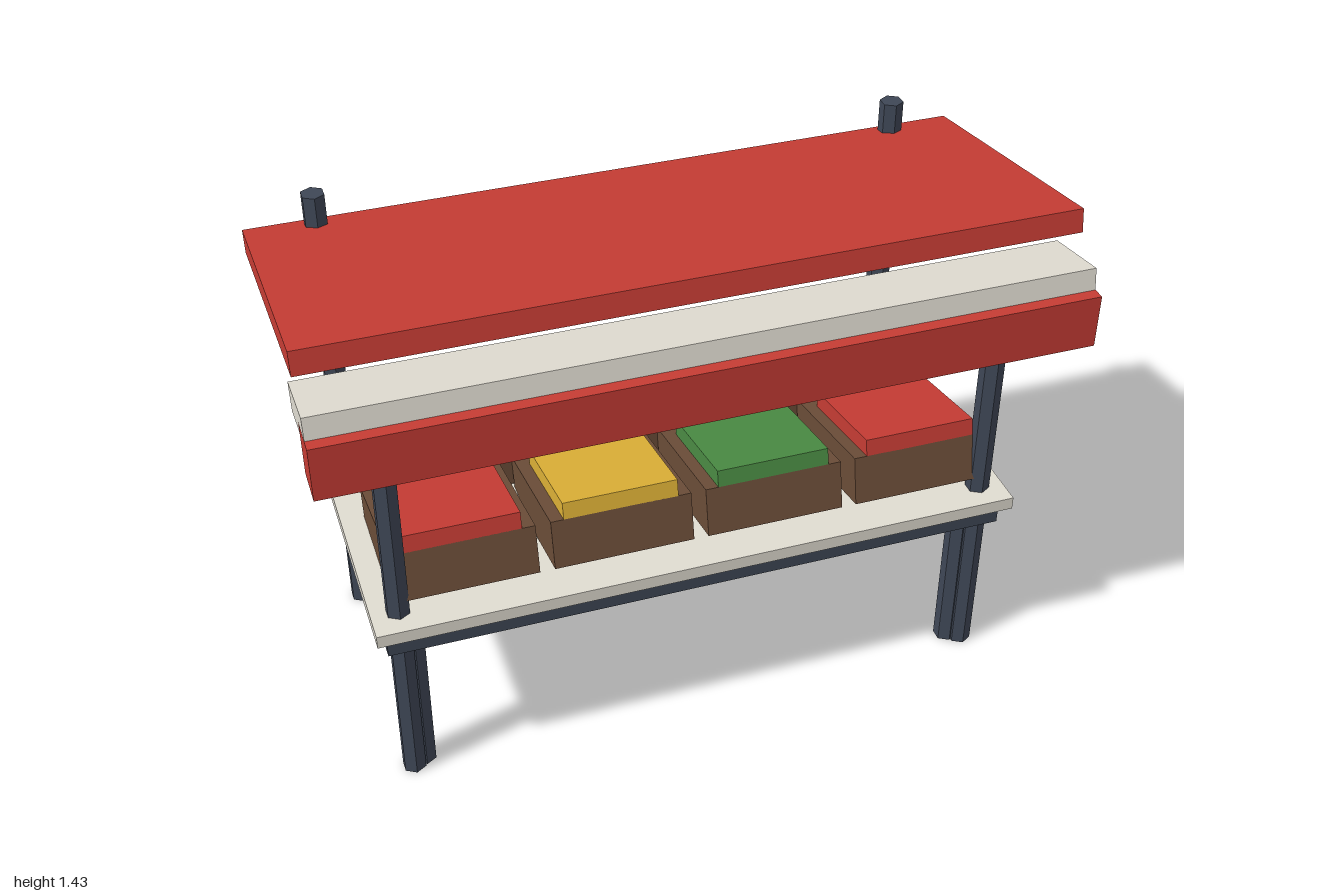
import * as THREE from 'three';

const material = (color) => new THREE.MeshStandardMaterial({ color, flatShading: true });
const metal = material(0x3f4756);
const cream = material(0xe0dcd1);
const wood = material(0x6b4d38);
const red = material(0xc63c34);
const yellow = material(0xdcb036);
const green = material(0x4a8b43);

function box(name, mat, size, position, tilt = 0) {
  const mesh = new THREE.Mesh(new THREE.BoxGeometry(...size), mat);
  mesh.name = name;
  mesh.position.set(...position);
  mesh.rotation.x = tilt;
  return mesh;
}

// Six-sided pole standing on the ground
function pole(name, height, x, z) {
  const mesh = new THREE.Mesh(new THREE.CylinderGeometry(0.033, 0.033, height, 6), metal);
  mesh.name = name;
  mesh.position.set(x, height / 2, z);
  return mesh;
}

// Crate centred on its group, with a block of produce on its top
function crate(name, [w, h, d], mat, [pw, ph, pd], produceZ) {
  const group = new THREE.Group();
  group.name = name;
  group.add(
    box('crateBody', wood, [w, h, d], [0, 0, 0]),
    box('produce', mat, [pw, ph, pd], [0, h / 2 + ph / 2 - 0.001, produceZ])
  );
  return group;
}

export function createModel() {
  const model = new THREE.Group();
  model.name = 'marketStall';

  // Table
  model.add(
    box('tableTop', cream, [1.77, 0.037, 0.91], [0, 0.5435, -0.043]),
    box('tableFrame', metal, [1.714, 0.06, 0.856], [0, 0.496, -0.042])
  );

  // Canopy posts, with a short table leg beside each one
  for (const side of [-1, 1]) {
    model.add(
      pole('frontPost', 1.21, side * 0.813, 0.332),
      pole('backPost', 1.385, side * 0.813, -0.395),
      pole('frontLeg', 0.48, side * 0.78, 0.31),
      pole('backLeg', 0.48, side * 0.78, -0.395)
    );
  }

  // Canopy: sloping roof, pale strip and hanging valance
  model.add(
    box('roof', red, [2, 0.064, 0.808], [0, 1.325, -0.032], -0.173),
    box('canopyStrip', cream, [1.999, 0.078, 0.203], [0, 1.2535, 0.366], -0.173),
    box('valance', red, [2, 0.148, 0.11], [0, 1.177, 0.448])
  );

  // Front row of crates, tipped down towards the back
  [red, yellow, green, red].forEach((mat, i) => {
    const c = crate('frontCrate', [0.38, 0.137, 0.418], mat, [0.31, 0.048, 0.35], 0.034);
    c.position.set((i - 1.5) * 0.42, 0.63, 0.133);
    c.rotation.x = -0.212;
    model.add(c);
  });

  // Back row of level crates
  [green, red, yellow].forEach((mat, i) => {
    const c = crate('backCrate', [0.42, 0.125, 0.31], mat, [0.35, 0.053, 0.26], 0);
    c.position.set((i - 1) * 0.485, 0.6235, -0.235);
    model.add(c);
  });

  return model;
}
